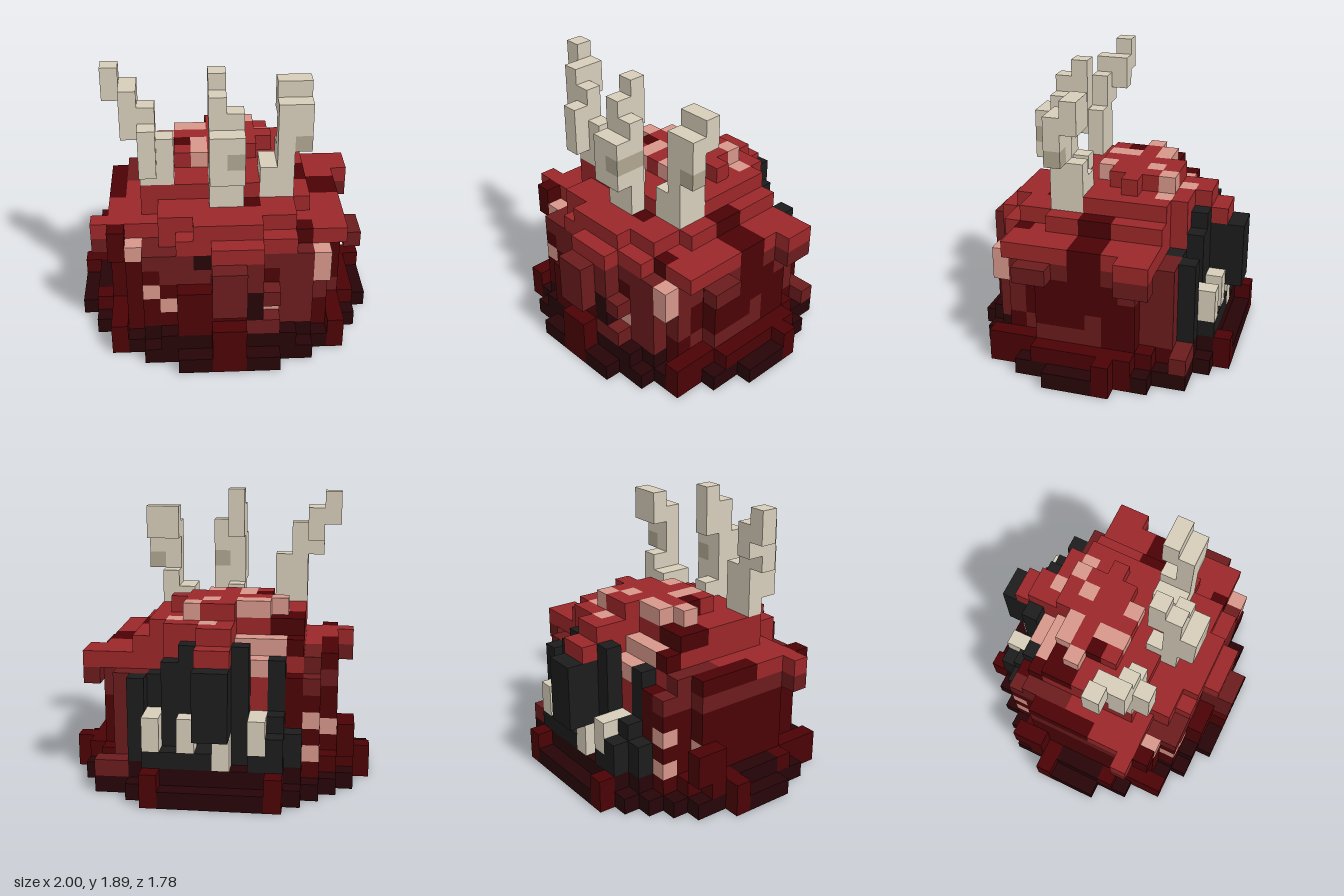
import * as THREE from 'three';
import { mergeGeometries } from 'three/addons/utils/BufferGeometryUtils.js';

const U = 2 / 18; // edge of one cube
const PALETTE = {
  darkest: 0x270407, deep: 0x4b0205, maroon: 0x6b1b1d, red: 0x9b2729,
  pink: 0xd6968a, bone: 0xd6cdba, shadedBone: 0xafa690, black: 0x1c1c1c,
};

// One cube face for each direction, facing outwards
const FACES = [
  [1, 0, 0, 0, Math.PI / 2], [-1, 0, 0, 0, -Math.PI / 2],
  [0, 1, 0, -Math.PI / 2, 0], [0, -1, 0, Math.PI / 2, 0],
  [0, 0, 1, 0, 0], [0, 0, -1, 0, Math.PI],
].map(([x, y, z, rx, ry]) => ({
  n: [x, y, z],
  geo: new THREE.PlaneGeometry(U, U).rotateX(rx).rotateY(ry).translate(x * U / 2, y * U / 2, z * U / 2),
}));

export function createModel() {
  const cells = new Map();
  const key = (x, y, z) => `${x},${y},${z}`;
  const put = (part, color, x, y, z) => cells.set(key(x, y, z), { part, color, x, y, z });

  // Visits a block of cubes; the upper bounds are exclusive
  const each = (x0, x1, y0, y1, z0, z1, visit) => {
    for (let x = x0; x < x1; x++)
      for (let y = y0; y < y1; y++)
        for (let z = z0; z < z1; z++) visit(x, y, z);
  };
  const box = (part, color, ...range) => each(...range, (x, y, z) => put(part, color, x, y, z));
  const carve = (...range) => each(...range, (x, y, z) => cells.delete(key(x, y, z)));
  // Elliptical layer of cubes, coloured by a rule
  const disc = (part, y, rx, rz, color, cx = 0, cz = 0) => each(-9, 9, y, y + 1, -8, 8, (x, _, z) => {
    if (((x + 0.5 - cx) / rx) ** 2 + ((z + 0.5 - cz) / rz) ** 2 <= 1) put(part, color(x, z), x, y, z);
  });
  // Recolours the topmost cube of a column
  const paintTop = (color, x, z) => {
    for (let y = 11; y > 0; y--) {
      const c = cells.get(key(x, y, z));
      if (c) { c.color = color; return; }
    }
  };

  // Base skirt
  disc('base', 0, 8.9, 8.2, () => 'darkest');
  disc('base', 1, 8.2, 7.3, (x) => (x < -5 || x > 4 ? 'deep' : 'darkest'));
  box('base', 'darkest', -8, -7, 1, 2, -1, 2);
  carve(-4, -3, 0, 2, 7, 8);
  carve(3, 4, 0, 2, 7, 8);
  carve(-7, -6, 0, 7, -6, -5);

  // Rounded body, darker towards the bottom, with a dark hollow on one flank
  const hollow = (y, z) => (y === 6 && z >= -1 && z < 1) || (y === 5 && z >= -2 && z < 3)
    || (y === 4 && z >= -3 && z < 4) || (y === 3 && z >= 0 && z < 4) || (y < 4 && z >= -3 && z < -1);
  const side = (y) => (x, z) => {
    if (x > 4 && (hollow(y, z) || (y === 2 && z > 3))) return 'deep';
    if (y < 5) return x < 1 ? 'deep' : 'maroon';
    return y === 5 && x < -4 ? 'deep' : 'maroon';
  };
  for (let y = 2; y < 7; y++) disc('body', y, 7.4, 7.2, side(y));
  const crown = (x, z) => (x > 3 && z >= -1 && z < 1 ? 'deep' : 'red');
  disc('body', 7, 7.2, 6.7, crown);
  disc('body', 8, 5.3, 6.6, crown, 0, -0.4);
  disc('body', 9, 4.8, 4.6, () => 'red', -0.5, -1.4);
  disc('body', 10, 3.1, 2.9, () => 'red', -0.5, -1.5);
  box('body', 'red', -5, -1, 9, 10, 1, 3);

  // Steps cut into the front of the body
  for (const [x, w] of [[-7, 6], [2, 5]]) carve(x, x + w, 7, 8, 6, 7);
  carve(-7, -3, 7, 8, 5, 6);
  carve(4, 7, 7, 8, 5, 6);
  carve(-7, -4, 7, 8, 4, 5);
  carve(-4, -1, 5, 7, 6, 7);
  carve(2, 4, 5, 7, 6, 7);
  carve(2, 4, 3, 4, 6, 7);

  // Feet around the skirt
  for (const [x0, x1, z0, z1, h] of [
    [-1, 1, 7, 8, 3], [6, 7, 4, 6, 2], [-7, -6, 4, 6, 2], [8, 9, -2, -1, 2],
    [7, 8, -3, -2, 2], [-9, -8, -2, -1, 2], [-4, -3, -8, -7, 2], [3, 4, -8, -7, 2],
  ]) box('foot', 'deep', x0, x1, 0, h, z0, z1);
  box('foot', 'maroon', 5, 7, 1, 2, -6, -5);

  // Lumps on the flanks
  box('frontLump', 'maroon', -1, 1, 4, 7, 7, 8);
  box('frontLump', 'red', -1, 2, 7, 8, 6, 7);
  box('flankLump', 'maroon', 7, 8, 6, 7, 2, 4);
  box('flankLump', 'deep', -8, -7, 2, 4, -4, -2);
  box('shoulder', 'maroon', -8, -6, 6, 7, 3, 4);
  box('shoulder', 'red', -8, -5, 7, 8, 3, 4);
  box('shoulder', 'red', 5, 7, 7, 8, 2, 5);
  box('shoulder', 'maroon', 7, 8, 6, 7, -4, -2);
  box('shoulder', 'red', 5, 8, 7, 8, -4, -2);
  box('shoulder', 'deep', -7, -6, 6, 8, 4, 5);

  // Hollowed face on the back, with a black wall and stepped brows
  carve(-6, 6, 2, 11, -7, -5);
  carve(-5, -1, 7, 11, -5, -4);
  carve(3, 7, 7, 11, -5, -4);
  carve(-5, -1, 9, 11, -4, -3);
  box('face', 'black', -4, 4, 2, 7, -5, -4);
  box('face', 'red', -3, -1, 5, 8, -5, -4);
  for (const [x, top] of [[-5, 4], [-4, 5], [-2, 9], [1, 9], [2, 8], [4, 7]])
    box('brow', 'black', x, x + 1, 2, top, -6, -5);
  box('brow', 'black', -4, -3, 7, 8, -5, -4);
  box('lip', 'black', -4, -3, 2, 4, -7, -6);
  box('lip', 'black', 0, 3, 2, 3, -7, -6);
  box('lip', 'black', -3, 4, 2, 3, -6, -5);
  box('snout', 'black', -1, 1, 4, 8, -8, -5);
  box('snout', 'red', -1, 1, 8, 9, -7, -5);
  box('snout', 'red', -1, 1, 9, 10, -6, -4);
  for (const x of [-3, 3]) {
    box('tusk', 'black', x, x + 1, 2, 3, -7, -5);
    box('tusk', 'bone', x, x + 1, 3, 5, -7, -5);
  }
  box('tooth', 'bone', 1, 2, 3, 5, -7, -6);
  box('tooth', 'bone', -1, 0, 2, 4, -7, -6);

  // Painted patches on the upper surface
  for (const [x, z] of [
    [-3, -5], [-2, -5], [0, -5], [-4, -4], [-3, -4], [-2, -4],
    [-3, -3], [-2, -3], [0, -3], [-4, -2], [-2, -1], [-2, 0], [0, 0],
  ]) paintTop('pink', x, z);
  box('spot', 'pink', 1, 3, 9, 10, -4, -3);
  box('spot', 'pink', 1, 2, 10, 11, -4, -3);
  carve(1, 3, 10, 11, 0, 1);
  for (let z = -5; z < -1; z++) {
    paintTop('deep', -5, z);
    paintTop('maroon', -6, z);
    paintTop('deep', -7, z);
  }
  for (const [x, z] of [[-4, -3], [-3, -1], [4, 4], [1, 3], [-3, 6], [-2, 6], [-7, -1], [-7, 0]])
    paintTop('deep', x, z);

  // Spots and pits around the sides
  box('spot', 'pink', -6, -5, 6, 7, 4, 5);
  box('spot', 'pink', -5, -4, 4, 5, 5, 6);
  box('spot', 'pink', -4, -3, 3, 4, 5, 6);
  carve(-4, -3, 3, 4, 6, 7);
  box('spot', 'pink', 2, 3, 3, 4, 5, 6);
  box('spot', 'pink', 5, 6, 5, 7, 5, 6);
  box('spot', 'pink', -6, -5, 4, 5, -5, -4);
  box('spot', 'pink', -7, -6, 3, 4, -3, -2);
  box('spot', 'pink', -6, -5, 2, 3, -5, -4);
  box('pit', 'darkest', 1, 2, 3, 5, 6, 7);
  box('pit', 'darkest', -2, -1, 6, 7, 5, 6);
  box('pit', 'deep', 2, 3, 5, 6, 5, 6);

  // Middle antler
  box('middleAntler', 'bone', -1, 1, 8, 12, 3, 4);
  box('middleAntler', 'bone', -1, 0, 8, 11, 2, 3);
  box('middleAntler', 'bone', -1, 1, 11, 14, 3, 5);
  box('middleAntler', 'shadedBone', 0, 1, 12, 13, 3, 5);
  box('middleAntler', 'bone', 0, 1, 14, 15, 3, 4);
  box('middleAntler', 'bone', -1, 0, 13, 16, 3, 4);
  box('middleAntler', 'bone', -1, 0, 14, 17, 2, 3);

  // Left antler
  box('leftAntler', 'bone', 2, 4, 8, 11, 1, 3);
  box('leftAntler', 'bone', 3, 4, 11, 12, 1, 3);
  box('leftAntler', 'bone', 3, 5, 12, 15, 2, 3);
  box('leftAntler', 'shadedBone', 4, 5, 12, 13, 2, 3);
  box('leftAntler', 'bone', 3, 5, 14, 16, 1, 2);

  // Right antler, stepping outwards
  box('rightAntler', 'bone', -5, -3, 10, 13, 2, 3);
  box('rightAntler', 'bone', -5, -4, 11, 14, 3, 4);
  box('rightAntler', 'bone', -5, -4, 13, 15, 2, 3);
  box('rightAntler', 'bone', -6, -5, 13, 16, 2, 3);
  box('rightAntler', 'bone', -6, -5, 14, 16, 1, 2);
  box('rightAntler', 'bone', -7, -6, 15, 17, 1, 2);

  // Keep only the exposed faces, one mesh for each part and colour
  const parts = {};
  for (const { part, color, x, y, z } of cells.values())
    for (const { n, geo } of FACES) {
      if (cells.has(key(x + n[0], y + n[1], z + n[2]))) continue;
      const face = geo.clone().translate((x + 0.5) * U, (y + 0.5) * U, (z + 0.5) * U);
      ((parts[part] ??= {})[color] ??= []).push(face);
    }

  const materials = {};
  for (const name in PALETTE) {
    materials[name] = new THREE.MeshStandardMaterial({ color: PALETTE[name] });
    materials[name].name = name;
  }
  const model = new THREE.Group();
  model.name = 'hornedBlockCreature';
  for (const part in parts) {
    const group = new THREE.Group();
    group.name = part;
    for (const color in parts[part]) {
      const mesh = new THREE.Mesh(mergeGeometries(parts[part][color]), materials[color]);
      mesh.name = `${part} ${color}`;
      group.add(mesh);
    }
    model.add(group);
  }
  return model;
}
